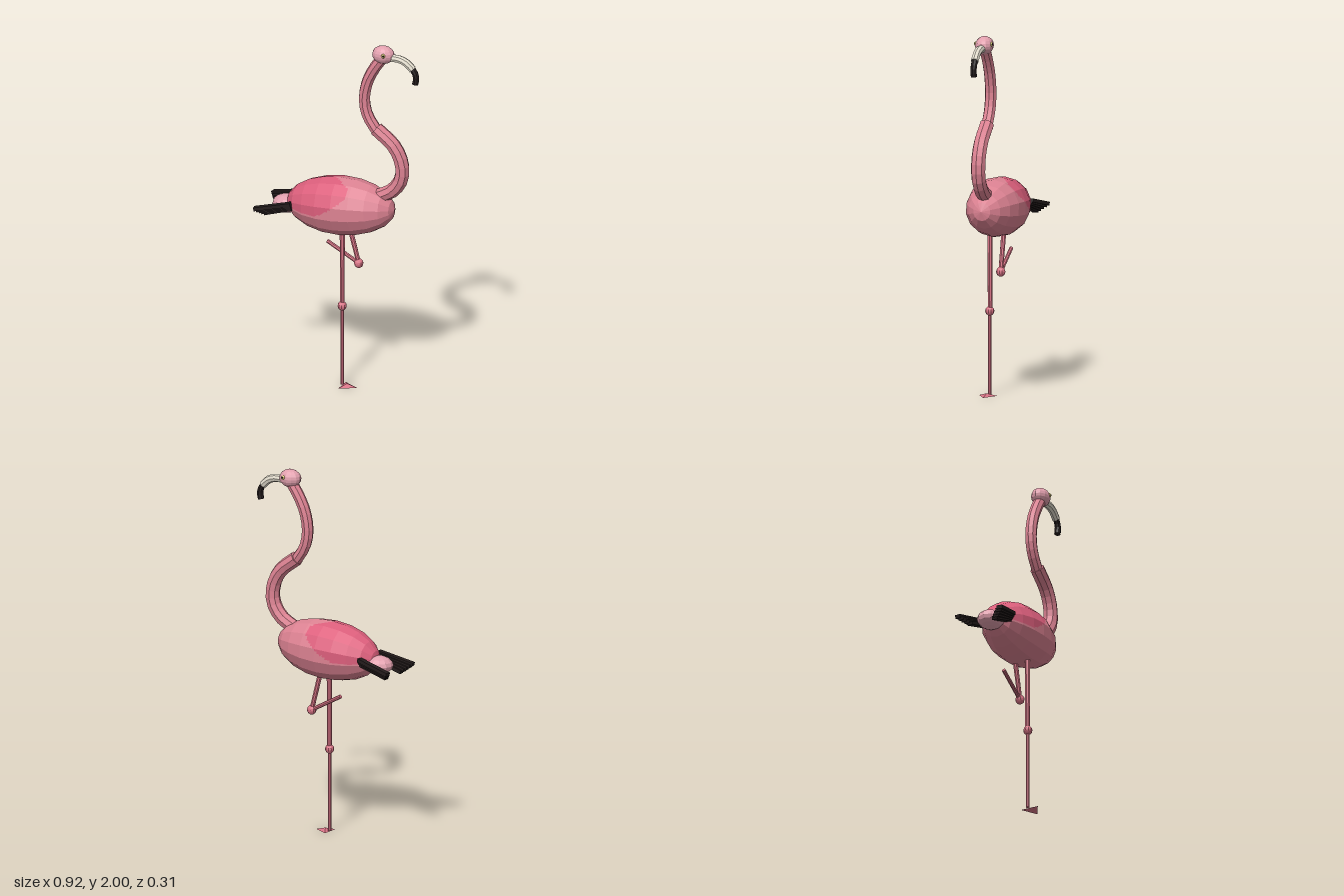
import * as THREE from 'three';

const paint = (name, color) => {
  const m = new THREE.MeshStandardMaterial({ color, flatShading: true });
  m.name = name;
  return m;
};

export function createModel() {
  const root = new THREE.Group();
  root.name = 'wadingBird';
  const pink = paint('pink', 0xdc8292);
  const rose = paint('rose', 0xdc5f7c);
  const pale = paint('palePink', 0xe2a0ae);
  const legPink = paint('legPink', 0xd97486);
  const cream = paint('cream', 0xe2dccd);
  const black = paint('black', 0x241c1c);
  const yellow = paint('yellow', 0xe0d27a);
  const V = (x, y, z = 0) => new THREE.Vector3(x, y, z);

  const add = (name, geo, mat, pos) => {
    const mesh = new THREE.Mesh(geo, mat);
    mesh.name = name;
    if (pos) mesh.position.copy(pos);
    root.add(mesh);
    return mesh;
  };
  const ellipsoid = (name, mat, pos, rx, ry, rz, w = 10, h = 8) =>
    add(name, new THREE.SphereGeometry(1, w, h).scale(rx, ry, rz), mat, pos);
  // straight rod between two points
  const rod = (name, mat, a, b, ra, rb = ra) => {
    const d = b.clone().sub(a);
    const mesh = add(name, new THREE.CylinderGeometry(rb, ra, d.length(), 8), mat, a.clone().lerp(b, 0.5));
    mesh.quaternion.setFromUnitVectors(V(0, 1), d.normalize());
  };
  // curved tube with closed ends
  const tube = (name, mat, pts, r, segs) => {
    const curve = new THREE.CatmullRomCurve3(pts);
    add(name, new THREE.TubeGeometry(curve, segs, r, 8), mat);
    [0, 1].forEach((t) => {
      const cap = add(name + 'End', new THREE.CircleGeometry(r, 8), mat, curve.getPointAt(t));
      cap.quaternion.setFromUnitVectors(V(0, 0, 1), curve.getTangentAt(t).multiplyScalar(t ? 1 : -1));
    });
  };

  // Body: faceted egg, each facet divided so the folded wings follow its surface
  const egg = new THREE.SphereGeometry(1, 14, 10).rotateZ(Math.PI / 2)
    .scale(0.312, 0.163, 0.157).rotateZ(0.06).translate(0, 1.03, 0).toNonIndexed();
  const isWing = (p) =>
    p.x < -0.04 + 1.4 * Math.min(Math.abs(p.z), 0.08) &&
    p.y > 1.0 + 0.12 * Math.pow(Math.max(0, (p.x + 0.12) / 0.19), 1.5);
  const lists = [[], []];
  const src = egg.attributes.position;
  const N = 6;
  for (let i = 0; i < src.count; i += 3) {
    const [a, b, c] = [0, 1, 2].map((k) => new THREE.Vector3().fromBufferAttribute(src, i + k));
    const at = (u, v) => a.clone().addScaledVector(b.clone().sub(a), u / N).addScaledVector(c.clone().sub(a), v / N);
    const put = (...t) => {
      const mid = t[0].clone().add(t[1]).add(t[2]).divideScalar(3);
      t.forEach((p) => lists[isWing(mid) ? 1 : 0].push(p.x, p.y, p.z));
    };
    for (let u = 0; u < N; u++) {
      for (let v = 0; v < N - u; v++) {
        put(at(u, v), at(u + 1, v), at(u, v + 1));
        if (u + v < N - 1) put(at(u + 1, v), at(u + 1, v + 1), at(u, v + 1));
      }
    }
  }
  ['body', 'foldedWings'].forEach((name, k) => {
    const g = new THREE.BufferGeometry();
    g.setAttribute('position', new THREE.Float32BufferAttribute(lists[k], 3));
    g.computeVertexNormals();
    add(name, g, k ? rose : pink);
  });

  // Tail and the dark feather fans
  ellipsoid('tail', pale, V(-0.32, 0.99), 0.08, 0.05, 0.073, 12, 8);
  for (const s of [1, -1]) {
    for (let i = 0; i < 5; i++) {
      const a = V(-0.255, 1.03 - 0.008 * i, s * (0.1 - 0.006 * i));
      const b = V(-0.457 + 0.01 * i, 0.982 - 0.009 * i, s * (0.128 - 0.013 * i));
      const d = b.clone().sub(a);
      const f = add('tailFeather', new THREE.BoxGeometry(d.length(), 0.02, 0.032), black, a.clone().lerp(b, 0.5));
      f.quaternion.setFromUnitVectors(V(-1, 0), d.normalize());
    }
  }

  // S-shaped neck
  tube('lowerNeck', pink, [V(0.22, 1.12), V(0.3, 1.165), V(0.352, 1.24), V(0.355, 1.33), V(0.31, 1.425), V(0.205, 1.51)], 0.04, 12);
  tube('upperNeck', pink, [V(0.215, 1.49), V(0.155, 1.58), V(0.136, 1.67), V(0.155, 1.78), V(0.2, 1.87), V(0.25, 1.94)], 0.032, 12);

  // Head, eyes and hooked bill
  ellipsoid('head', pale, V(0.247, 1.95), 0.063, 0.05, 0.05, 12, 10);
  for (const s of [1, -1]) {
    ellipsoid('eye', yellow, V(0.265, 1.96, s * 0.044), 0.012, 0.012, 0.008);
    ellipsoid('pupil', black, V(0.267, 1.961, s * 0.05), 0.006, 0.006, 0.004, 8, 6);
  }
  tube('bill', cream, [V(0.29, 1.937), V(0.34, 1.938), V(0.385, 1.922), V(0.42, 1.89)], 0.022, 6);
  tube('billTip', black, [V(0.412, 1.9), V(0.433, 1.87), V(0.44, 1.84), V(0.434, 1.808)], 0.0175, 5);

  // Standing leg with webbed foot
  rod('standingThigh', legPink, V(0.023, 0.46, 0.04), V(0.023, 0.92, 0.04), 0.013, 0.015);
  ellipsoid('standingKnee', legPink, V(0.023, 0.462, 0.042), 0.025, 0.026, 0.025);
  rod('standingShin', legPink, V(0.023, 0.005, 0.042), V(0.023, 0.46, 0.042), 0.01);
  add('foot', new THREE.ConeGeometry(0.06, 0.016, 3).rotateY(Math.PI / 2), legPink, V(0.055, 0.008, 0.05));

  // Raised leg, folded back
  rod('raisedThigh', legPink, V(0.025, 0.92, -0.04), V(0.085, 0.69, -0.04), 0.014, 0.013);
  ellipsoid('raisedKnee', legPink, V(0.085, 0.69, -0.04), 0.026, 0.027, 0.025);
  rod('raisedShin', legPink, V(0.085, 0.69, -0.04), V(-0.1, 0.79, -0.04), 0.011);

  return root;
}
